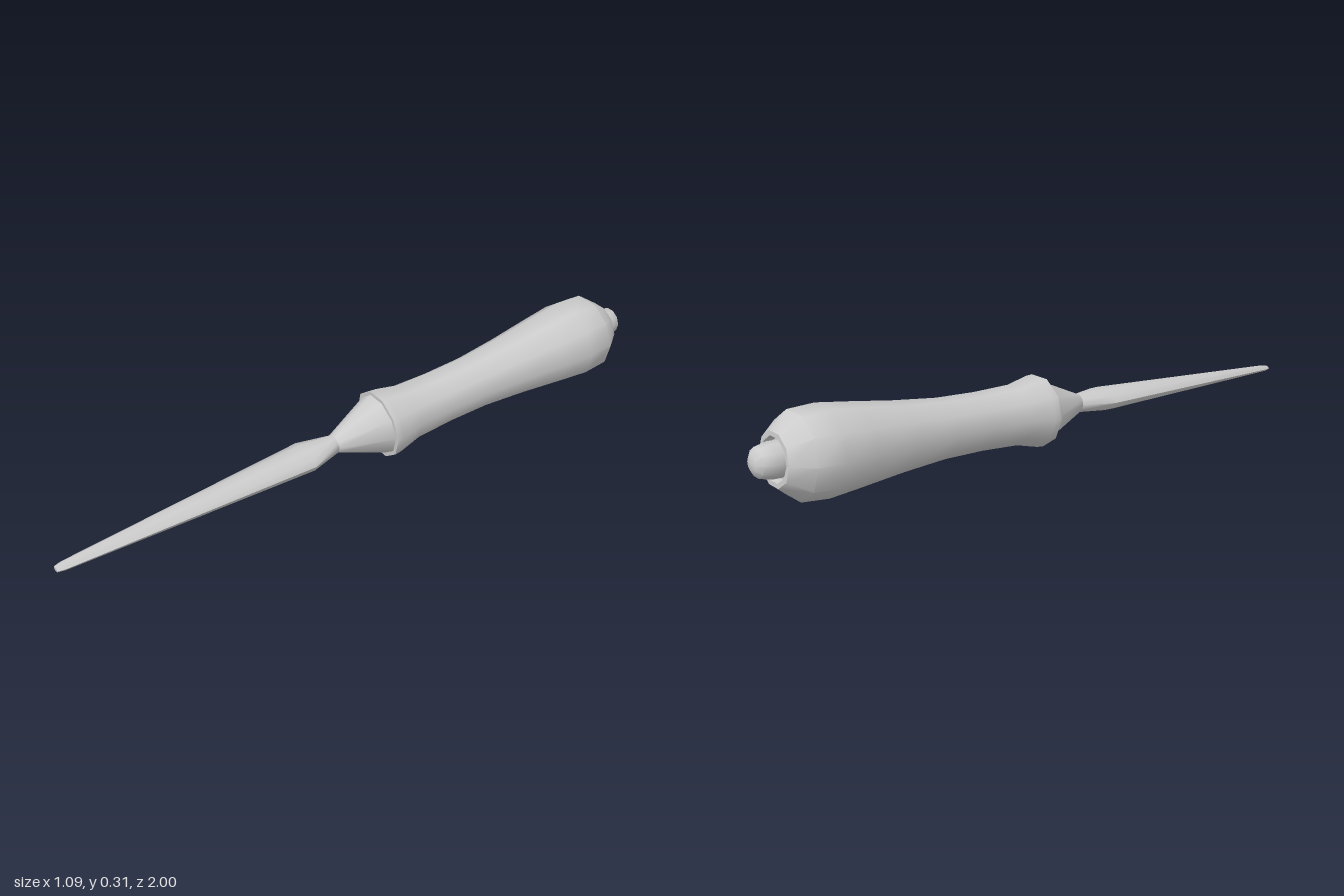
import * as THREE from 'three';
import { toCreasedNormals } from 'three/addons/utils/BufferGeometryUtils.js';

const SIDES = 10;
const material = new THREE.MeshStandardMaterial({ color: 0xcccccc, side: THREE.DoubleSide });

// Ten-sided turned part from [radius, distance along the axis] pairs
function turned(name, profile, crease, reshape) {
  const points = profile.map(([r, s]) => new THREE.Vector2(r, s));
  const geometry = new THREE.LatheGeometry(points, SIDES, Math.PI / 2);
  if (reshape) reshape(geometry.attributes.position);
  const mesh = new THREE.Mesh(toCreasedNormals(geometry, crease), material);
  mesh.name = name;
  return mesh;
}

// Press the round section flat, blending back to round at the neck
function flatten(position) {
  for (let i = 0; i < position.count; i++) {
    const t = THREE.MathUtils.clamp((position.getY(i) + 0.29) / 0.115, 0, 1);
    position.setZ(i, position.getZ(i) * THREE.MathUtils.lerp(0.55, 0.95, t));
  }
}

export function createModel() {
  const group = new THREE.Group();
  group.name = 'handTool';

  const tool = new THREE.Group();
  tool.name = 'tool';
  tool.add(
    // Flat tapering blade
    turned('blade', [[0, -1.178], [0.014, -1.175], [0.02, -1.15], [0.07, -0.29], [0.033, -0.175]], 0.9, flatten),
    // Cone joining blade and handle
    turned('ferrule', [[0.033, -0.177], [0.107, 0]], 0.7),
    // Swelling grip with a flared front rim and a recess at the butt
    turned('handle', [
      [0.1, 0], [0.121, 0], [0.119, 0.025], [0.1, 0.11], [0.095, 0.25], [0.097, 0.4], [0.111, 0.56],
      [0.13, 0.72], [0.142, 0.83], [0.136, 0.925], [0.085, 0.99], [0.07, 0.99], [0.062, 0.97], [0, 0.97],
    ], 0.75),
    // Rounded end of the tang
    turned('endKnob', [[0.055, 0.965], [0.055, 1.005], [0.046, 1.045], [0.025, 1.06], [0, 1.064]], 0.75),
  );

  // Lay the tool diagonally, resting on rim and blade tip
  const along = new THREE.Vector3(0.457, 0.07, -0.889).normalize();
  const across = new THREE.Vector3(0.889, 0, 0.457).normalize();
  const up = new THREE.Vector3().crossVectors(across, along);
  tool.quaternion.setFromRotationMatrix(new THREE.Matrix4().makeBasis(across, along, up));
  tool.position.set(-0.002, 0.12, -0.05);

  group.add(tool);
  return group;
}
